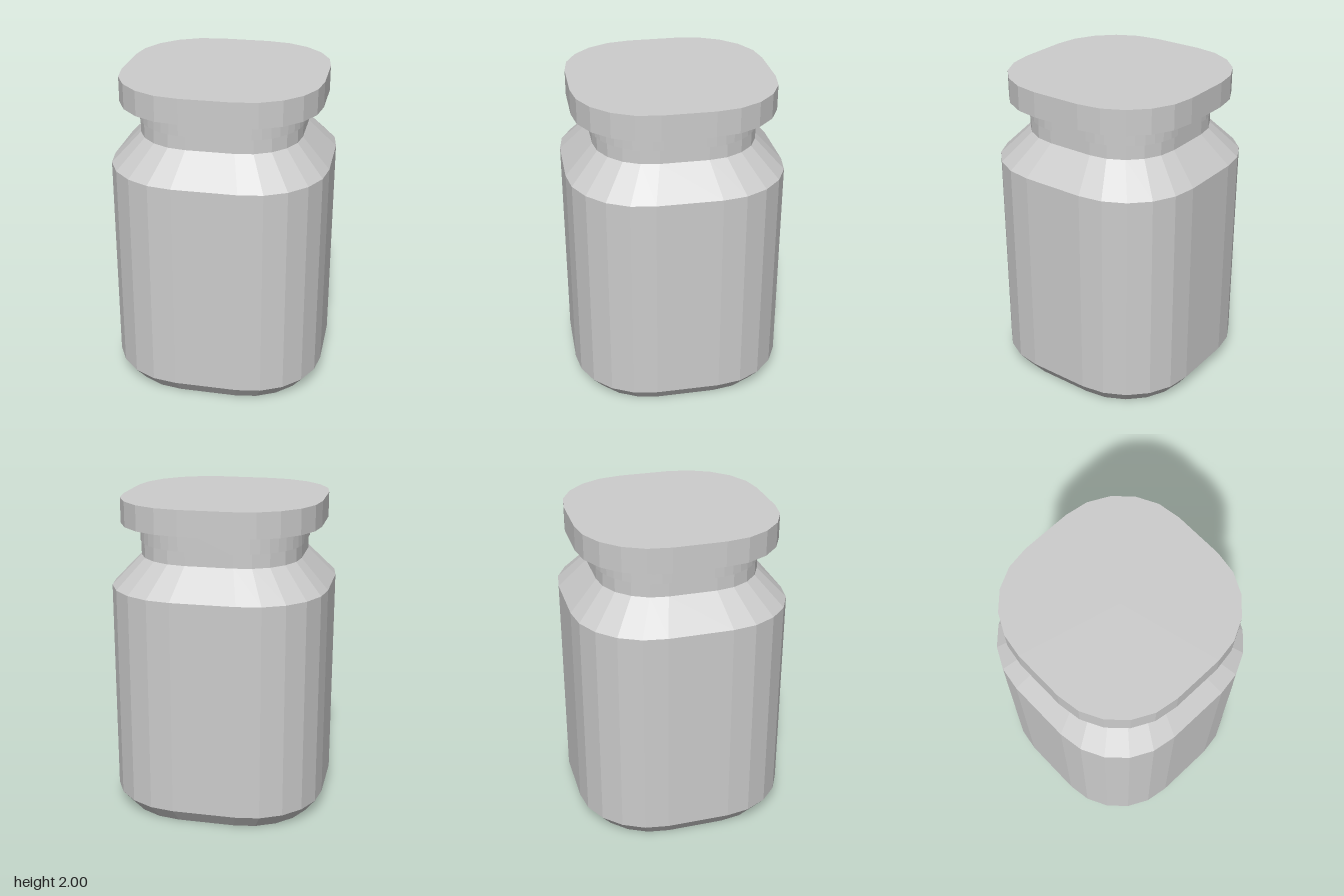
import * as THREE from 'three';

// Rounded square outline: half width, straight half length, segments per corner
function outline(half, flat, segments) {
  const points = [];
  const radius = half - flat;
  for (let q = 0; q < 4; q++) {
    const mid = (q + 0.5) * Math.PI / 2;
    const cx = Math.sign(Math.cos(mid)) * flat;
    const cz = Math.sign(Math.sin(mid)) * flat;
    for (let i = 0; i <= segments; i++) {
      const t = (q + i / segments) * Math.PI / 2;
      points.push([cx + radius * Math.cos(t), cz + radius * Math.sin(t)]);
    }
  }
  return points;
}

// Closed solid lofted through scaled outlines; levels are [y, half width]
function loft(name, levels, flatRatio, segments) {
  const rings = levels.map(([y, half]) =>
    outline(half, half * flatRatio, segments).map(([x, z]) => [x, y, z]));
  const last = rings.length - 1;
  const bottom = [0, levels[0][0], 0];
  const top = [0, levels[last][0], 0];
  const n = rings[0].length;
  const positions = [];
  const tri = (...corners) => corners.forEach((c) => positions.push(...c));
  for (let i = 0; i < n; i++) {
    const j = (i + 1) % n;
    for (let k = 0; k < last; k++) {
      const lower = rings[k], upper = rings[k + 1];
      tri(lower[i], upper[i], upper[j]);
      tri(lower[i], upper[j], lower[j]);
    }
    tri(bottom, rings[0][i], rings[0][j]);
    tri(top, rings[last][j], rings[last][i]);
  }
  const geometry = new THREE.BufferGeometry();
  geometry.setAttribute('position', new THREE.Float32BufferAttribute(positions, 3));
  geometry.computeVertexNormals();
  const mesh = new THREE.Mesh(geometry,
    new THREE.MeshStandardMaterial({ color: 0xcccccc, flatShading: true }));
  mesh.name = name;
  return mesh;
}

export function createModel() {
  const jar = new THREE.Group();
  jar.name = 'jar';
  // Body with chamfered base, sloping shoulder and short neck
  jar.add(loft('body',
    [[0, 0.61], [0.093, 0.68], [1.457, 0.68], [1.64, 0.505], [1.727, 0.505]], 0.294, 5));
  // Seal ring between the neck and the lid
  jar.add(loft('seal', [[1.727, 0.515], [1.843, 0.515]], 0.25, 10));
  // Overhanging flat lid
  jar.add(loft('lid', [[1.843, 0.627], [2, 0.627]], 0.255, 5));
  return jar;
}
